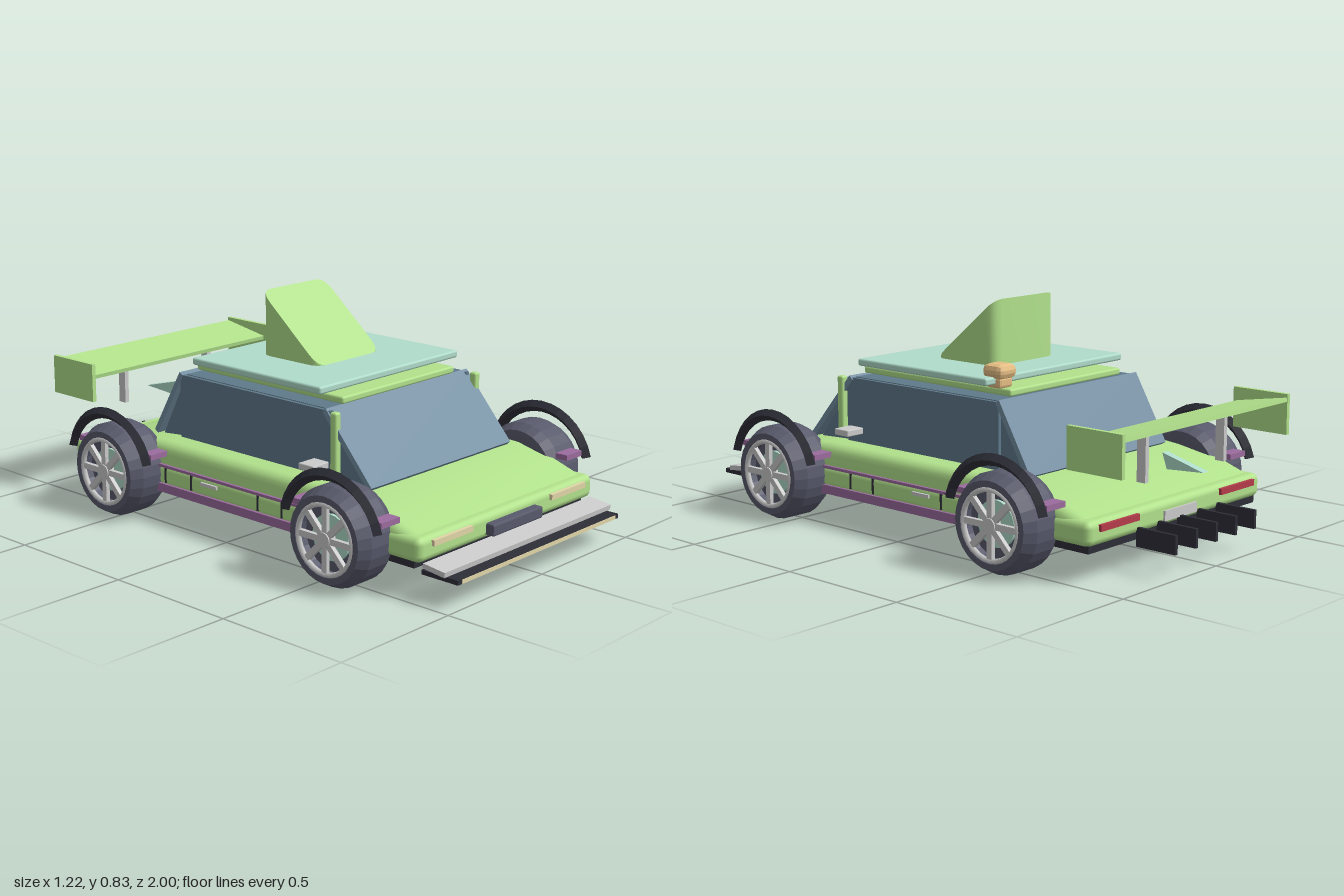
import * as THREE from 'three';
import { toCreasedNormals } from 'three/addons/utils/BufferGeometryUtils.js';
import { RoundedBoxGeometry } from 'three/addons/geometries/RoundedBoxGeometry.js';

const mat = (color, extra = {}) => {
  const m = new THREE.MeshStandardMaterial({ color });
  return Object.assign(m, extra);
};
const GREEN = mat(0xb2e28c), GLASS = mat(0x7590a3), DARK_GLASS = mat(0x5f7a8c), TEAL = mat(0xb0dccb);
const RUBBER = mat(0x585a6c, { flatShading: true }), BLACK = mat(0x2e2e38, { flatShading: true });
const PURPLE = mat(0x9c6c9e), GREY = mat(0xcccccc), ORANGE = mat(0xe6be84, { flatShading: true });
const CREAM = mat(0xe2d6a8), RED = mat(0xb43c4a);

export function createModel() {
  const car = new THREE.Group();
  car.name = 'car';

  const add = (name, geometry, material, parent = car) => {
    const mesh = new THREE.Mesh(geometry, material);
    mesh.name = name;
    parent.add(mesh);
    return mesh;
  };
  // Box given by centre and size, with an optional tilt about x
  const box = (name, material, [x, y, z], [w, h, d], tilt = 0, parent = car) => {
    const mesh = add(name, new THREE.BoxGeometry(w, h, d), material, parent);
    mesh.position.set(x, y, z);
    mesh.rotation.x = tilt;
    return mesh;
  };
  const rounded = (name, material, [x, y, z], [w, h, d], r, seg = 2) => {
    const mesh = add(name, new RoundedBoxGeometry(w, h, d, seg, r), material);
    mesh.position.set(x, y, z);
    return mesh;
  };
  // Side profile of (z, y) points, extruded across x and centred
  const across = (points, width, bevel = 0) => {
    const shape = new THREE.Shape(points.map(([z, y]) => new THREE.Vector2(z, y)));
    const depth = width - 2 * bevel;
    const geo = new THREE.ExtrudeGeometry(shape, {
      depth, bevelEnabled: bevel > 0, bevelThickness: bevel, bevelSize: bevel, bevelOffset: -bevel, bevelSegments: 4,
    });
    geo.translate(0, 0, -depth / 2);
    geo.rotateY(-Math.PI / 2);
    return geo;
  };

  // Lower body, sloping hood, shoulders and trunk
  rounded('lowerBody', GREEN, [0, 0.172, 0.01], [0.965, 0.085, 1.71], 0.025);
  const upper = across([
    [-0.83, 0.14], [0.855, 0.14], [0.855, 0.205], [0.72, 0.25], [0.57, 0.285],
    [0.4, 0.293], [-0.38, 0.293], [-0.52, 0.28], [-0.7, 0.25], [-0.83, 0.205],
  ], 0.95, 0.04);
  add('upperBody', toCreasedNormals(upper, 0.6), GREEN);
  box('floor', BLACK, [0, 0.122, 0], [0.93, 0.03, 1.66]);

  // Cabin core, with glass panels laid on it
  add('cabin', across([[0.54, 0.28], [0.35, 0.53], [-0.34, 0.53], [-0.47, 0.28]], 0.72), DARK_GLASS);
  box('windshield', GLASS, [0, 0.41, 0.46], [0.76, 0.315, 0.02], -0.72);
  box('rearWindow', GLASS, [0, 0.41, -0.425], [0.75, 0.28, 0.02], 0.528);
  rounded('roof', GREEN, [0, 0.547, 0.01], [0.6, 0.026, 0.72], 0.008);
  rounded('roofPanel', TEAL, [0, 0.587, 0.015], [0.74, 0.027, 0.63], 0.008);

  // Roof scoop: rounded footprint raised to a sloping top
  const w = 0.165, f = 0.13, b = 0.15, r = 0.045;
  const foot = new THREE.Shape();
  foot.moveTo(-w + r, -f);
  foot.lineTo(w - r, -f); foot.quadraticCurveTo(w, -f, w, -f + r);
  foot.lineTo(w, b - r); foot.quadraticCurveTo(w, b, w - r, b);
  foot.lineTo(-w + r, b); foot.quadraticCurveTo(-w, b, -w, b - r);
  foot.lineTo(-w, -f + r); foot.quadraticCurveTo(-w, -f, -w + r, -f);
  const scoop = new THREE.ExtrudeGeometry(foot, { depth: 1, bevelEnabled: false, curveSegments: 4 });
  scoop.rotateX(-Math.PI / 2);
  const sp = scoop.attributes.position;
  for (let i = 0; i < sp.count; i++) {
    const slope = 0.6 + (f - sp.getZ(i)) * 0.84;
    sp.setY(i, sp.getY(i) > 0.5 ? slope : 0.565);
  }
  add('roofScoop', toCreasedNormals(scoop, 0.6), GREEN);

  // Roof beacon
  rounded('beacon', ORANGE, [0.288, 0.617, -0.288], [0.09, 0.052, 0.09], 0.02, 1);
  rounded('beaconBase', ORANGE, [0.288, 0.58, -0.288], [0.066, 0.04, 0.066], 0.01, 1);

  // Front bumper, splitter and lamps
  box('bumperBar', GREY, [0, 0.12, 0.91], [0.93, 0.018, 0.09], 0.12);
  box('splitter', BLACK, [0, 0.096, 0.923], [0.9, 0.016, 0.15]);
  box('splitterStrip', CREAM, [0, 0.096, 0.997], [0.86, 0.014, 0.006]);
  rounded('grille', RUBBER, [0, 0.165, 0.878], [0.275, 0.042, 0.04], 0.006, 1);

  // Rear plate, roof-style fin and diffuser blades
  box('rearPlate', GREY, [0, 0.165, -0.847], [0.18, 0.035, 0.012]);
  add('rearFin', across([[-0.78, 0.36], [-0.95, 0.315], [-0.8, 0.305]], 0.03), TEAL);
  for (let i = -2; i <= 2; i++) {
    box('diffuserBlade', BLACK, [i * 0.112, 0.12, -0.92], [0.013, 0.066, 0.16]);
  }

  // Rear wing
  box('wing', GREEN, [0, 0.48, -0.86], [0.92, 0.015, 0.21], 0.17);

  // Wheel geometries, axle along x with the outer face at +x
  const profile = [
    [0, -0.085], [0.13, -0.09], [0.152, -0.088], [0.173, -0.05], [0.173, 0.045],
    [0.15, 0.088], [0.128, 0.088], [0.122, 0.04], [0, 0.04],
  ].map(([x, y]) => new THREE.Vector2(x, y));
  const tireGeo = new THREE.LatheGeometry(profile, 28).rotateZ(-Math.PI / 2);
  const rimGeo = new THREE.TorusGeometry(0.12, 0.01, 6, 28).rotateY(Math.PI / 2);
  const discGeo = new THREE.CylinderGeometry(0.08, 0.08, 0.012, 24).rotateZ(-Math.PI / 2);
  const hubGeo = new THREE.CylinderGeometry(0.026, 0.03, 0.03, 12).rotateZ(-Math.PI / 2);
  const spokeGeo = new THREE.BoxGeometry(0.016, 0.1, 0.022).translate(0.078, 0.07, 0);
  const archSweep = 2.6;
  const archGeo = new THREE.TorusGeometry(0.212, 0.021, 4, 14, archSweep)
    .rotateZ((Math.PI - archSweep) / 2).rotateY(Math.PI / 2);

  for (const s of [1, -1]) {
    for (const z of [0.565, -0.53]) {
      const wheel = new THREE.Group();
      wheel.name = z > 0 ? 'frontWheel' : 'rearWheel';
      wheel.position.set(s * 0.52, 0.176, z);
      wheel.rotation.y = s > 0 ? 0 : Math.PI;
      car.add(wheel);
      add('tire', tireGeo, RUBBER, wheel);
      add('rim', rimGeo, GREY, wheel).position.x = 0.08;
      add('brakeDisc', discGeo, TEAL, wheel).position.x = 0.048;
      add('hub', hubGeo, GREY, wheel).position.x = 0.075;
      for (let i = 0; i < 8; i++) add('spoke', spokeGeo, GREY, wheel).rotation.x = (i * Math.PI) / 4;
      // Wheel arch and its end brackets
      add('wheelArch', archGeo, BLACK).position.set(s * 0.576, 0.178, z);
      for (const e of [-1, 1]) box('archBracket', PURPLE, [s * 0.507, 0.256, z + e * 0.175], [0.09, 0.02, 0.05]);
    }

    // Side windows, pillars and mirrors
    box('sideWindow', DARK_GLASS, [s * 0.366, 0.41, 0.01], [0.016, 0.235, 0.74]);
    rounded('pillar', GREEN, [s * 0.376, 0.42, 0.405], [0.028, 0.22, 0.03], 0.008);
    rounded('mirror', GREY, [s * 0.41, 0.337, 0.337], [0.08, 0.024, 0.07], 0.004, 1);

    // Sills, trim, door seams and handles
    box('sideSkirt', PURPLE, [s * 0.478, 0.128, 0.02], [0.026, 0.032, 0.8]);
    box('sideTrim', PURPLE, [s * 0.48, 0.21, 0.02], [0.014, 0.01, 0.8]);
    for (const z of [0.255, 0.14, -0.195, -0.33]) box('doorSeam', BLACK, [s * 0.481, 0.176, z], [0.008, 0.056, 0.008]);
    box('doorHandle', GREY, [s * 0.485, 0.186, -0.1], [0.012, 0.012, 0.08]);

    // Lamps, wing end plates and struts
    box('headlight', CREAM, [s * 0.32, 0.191, 0.866], [0.2, 0.02, 0.02]);
    box('tailLight', RED, [s * 0.33, 0.19, -0.845], [0.2, 0.022, 0.02]);
    box('wingEndPlate', GREEN, [s * 0.463, 0.445, -0.853], [0.016, 0.145, 0.225]);
    box('wingStrut', GREY, [s * 0.22, 0.39, -0.855], [0.018, 0.17, 0.035]);
  }
  return car;
}
